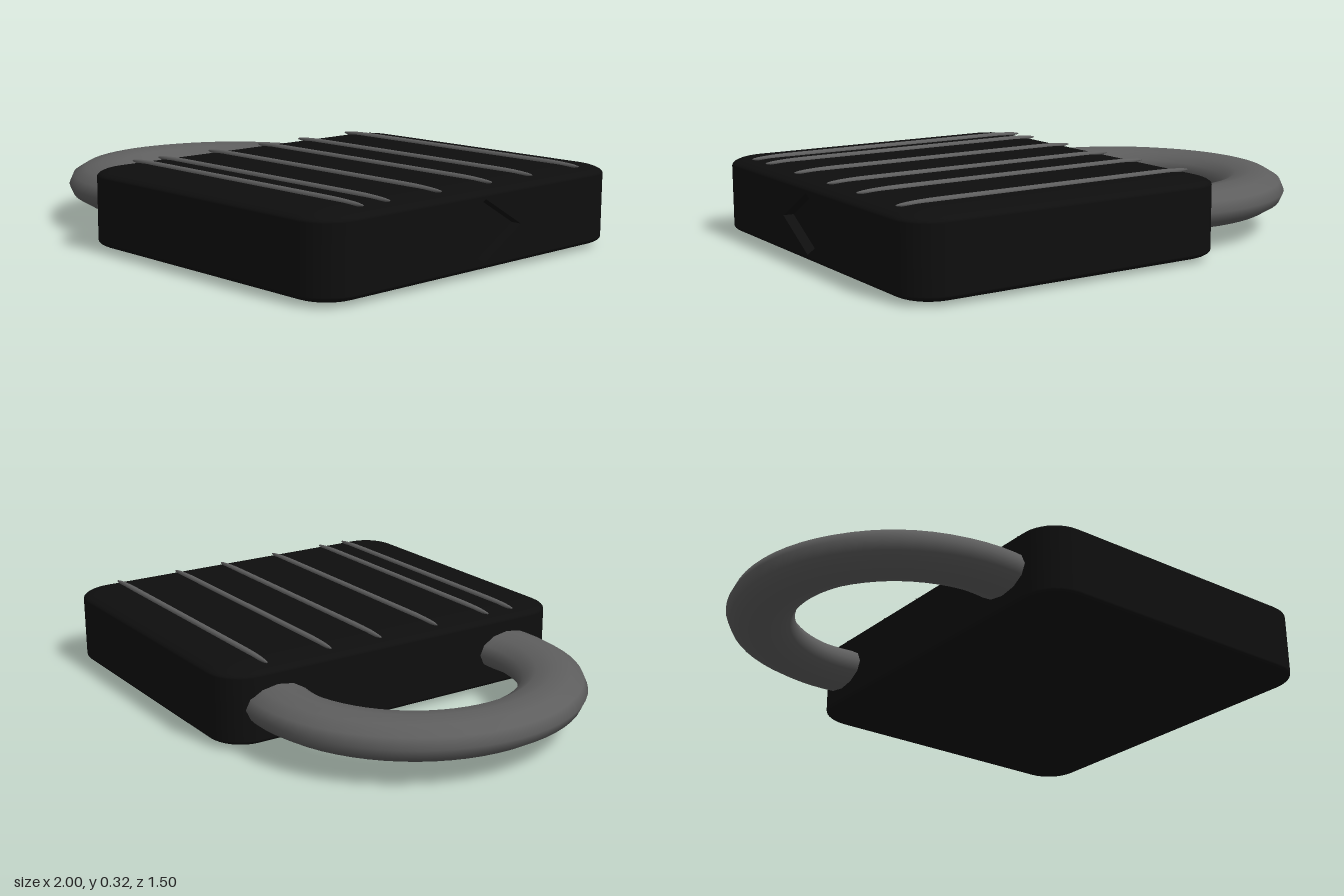
import * as THREE from 'three';
import { RoundedBoxGeometry } from 'three/addons/geometries/RoundedBoxGeometry.js';

const BODY = { x: 0.36, width: 1.28, height: 0.304, depth: 1.5, radius: 0.14 };
const SLOT = { y: 0.11, z: 0.19, depth: 0.04 };
const SQUASH = 0.25; // body edges are flattened in height

const paint = (color, extra = {}) => new THREE.MeshStandardMaterial({ color, ...extra });

function add(group, name, geometry, material) {
  const mesh = new THREE.Mesh(geometry, material);
  mesh.name = name;
  group.add(mesh);
  return mesh;
}

// Rounded block with its flat +x panel left open for the recess
function bodyShell() {
  const { width, height, depth, radius } = BODY;
  const box = new RoundedBoxGeometry(width, height / SQUASH, depth, 5, radius);
  box.scale(1, SQUASH, 1);
  const { position, normal } = box.attributes;
  const points = [], normals = [];
  for (let i = 0; i < position.count; i += 3) {
    const corners = [i, i + 1, i + 2];
    if (corners.every((k) => position.getX(k) > width / 2 - 1e-4)) continue;
    for (const k of corners) {
      points.push(position.getX(k), position.getY(k), position.getZ(k));
      normals.push(normal.getX(k), normal.getY(k), normal.getZ(k));
    }
  }
  const shell = new THREE.BufferGeometry();
  shell.setAttribute('position', new THREE.Float32BufferAttribute(points, 3));
  shell.setAttribute('normal', new THREE.Float32BufferAttribute(normals, 3));
  return shell;
}

// Flat side panel with a diamond opening
function sidePanel() {
  const w = BODY.depth / 2 - BODY.radius;
  const h = BODY.height / 2 - BODY.radius * SQUASH;
  const rim = new THREE.Shape([[-w, -h], [w, -h], [w, h], [-w, h]].map((p) => new THREE.Vector2(...p)));
  const hole = [[SLOT.z, 0], [0, -SLOT.y], [-SLOT.z, 0], [0, SLOT.y]];
  rim.holes.push(new THREE.Path(hole.map((p) => new THREE.Vector2(...p))));
  return new THREE.ShapeGeometry(rim).rotateY(Math.PI / 2);
}

export function createModel() {
  const model = new THREE.Group();
  const black = paint(0x0e0e0e);
  const blackFlat = paint(0x0e0e0e, { flatShading: true, side: THREE.DoubleSide });
  const steel = paint(0x5e5e5e);

  // Lock body with recessed keyway
  const body = new THREE.Group();
  body.name = 'lockBody';
  body.position.set(BODY.x, BODY.height / 2, 0);
  model.add(body);
  add(body, 'bodyShell', bodyShell(), black);
  add(body, 'sidePanel', sidePanel(), black).position.x = BODY.width / 2;

  const walls = new THREE.CylinderGeometry(1, 1, SLOT.depth, 4, 1, true);
  walls.rotateZ(Math.PI / 2).scale(1, SLOT.y, SLOT.z);
  add(body, 'keywayWalls', walls, blackFlat).position.x = (BODY.width - SLOT.depth) / 2;
  const floor = new THREE.CircleGeometry(1, 4).rotateY(Math.PI / 2).scale(1, SLOT.y, SLOT.z);
  add(body, 'keywayFloor', floor, black).position.x = BODY.width / 2 - SLOT.depth;

  // Shackle: flattened ring whose ends run into the body
  const overrun = 0.35;
  const ring = new THREE.TorusGeometry(0.522, 0.127, 12, 40, Math.PI + 2 * overrun);
  ring.rotateZ(Math.PI / 2 - overrun).rotateX(Math.PI / 2).scale(1, 0.6, 1);
  add(model, 'shackle', ring, steel).position.set(-0.351, 0.154, -0.025);

  // Raised ribs with long tapered ends
  const rib = new THREE.CapsuleGeometry(0.0125, 0.065, 6, 10).rotateZ(Math.PI / 2);
  rib.scale(1.21 / 0.09, 1, 1);
  [-0.565, -0.298, -0.08, 0.177, 0.422, 0.542].forEach((z, i) => {
    add(model, `rib${i + 1}`, rib, steel).position.set(0.355, 0.304, z);
  });

  return model;
}
